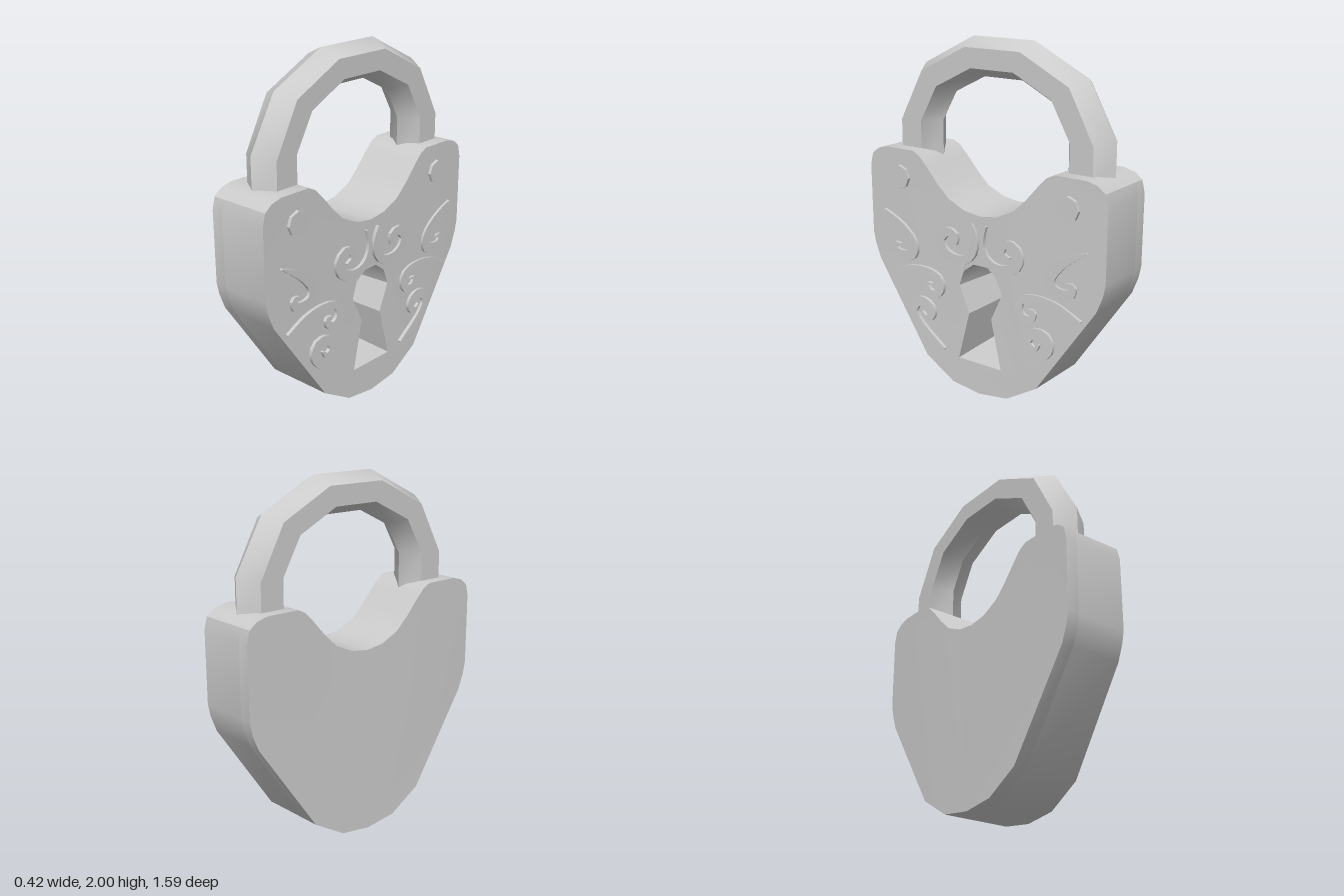
import * as THREE from 'three';
import { toCreasedNormals, mergeVertices } from 'three/addons/utils/BufferGeometryUtils.js';

const CREASE = 0.65;
const material = new THREE.MeshStandardMaterial({ color: 0xcccccc });

// [s, y] half outline -> full outline mirrored about s = 0
const mirrored = (half) => [
  ...half,
  ...half.filter(([s]) => s !== 0).reverse().map(([s, y]) => [-s, y]),
];
const vectors = (pts) => pts.map(([s, y]) => new THREE.Vector2(s, y));

// Extrude a face-on shape between two x positions; the lock thickens toward its foot
function plate(name, shape, x0, x1, adjust) {
  const geo = new THREE.ExtrudeGeometry(shape, { depth: x1 - x0, bevelEnabled: false });
  if (adjust) adjust(geo.attributes.position);
  geo.translate(0, 0, x0);
  geo.rotateY(Math.PI / 2);
  const p = geo.attributes.position;
  for (let i = 0; i < p.count; i++) {
    const k = THREE.MathUtils.clamp((0.7 - p.getY(i)) / 0.65, 0, 1);
    p.setX(i, p.getX(i) * (1 + 0.09 * k));
  }
  const mesh = new THREE.Mesh(toCreasedNormals(geo, CREASE), material);
  mesh.name = name;
  return mesh;
}

// Tapered scroll drawn along a centreline, pointed at both ends
function scrollShape(points, width, side) {
  const curve = new THREE.CatmullRomCurve3(points.map(([s, y]) => new THREE.Vector3(s * side, y, 0)));
  const left = [], right = [], n = 20;
  for (let i = 0; i <= n; i++) {
    const t = i / n;
    const p = curve.getPoint(t), d = curve.getTangent(t);
    const h = (width / 2) * (0.12 + 0.88 * Math.pow(Math.sin(Math.PI * t), 0.8));
    left.push(new THREE.Vector2(p.x - d.y * h, p.y + d.x * h));
    right.push(new THREE.Vector2(p.x + d.y * h, p.y - d.x * h));
  }
  return new THREE.Shape([...left, ...right.reverse()]);
}

// Six-sided bar swept round the arch: four edge lines, each given as a half path
function shackle() {
  const outer = [[-0.708, 1.2], [-0.708, 1.535], [-0.54, 1.83], [-0.2, 2.0]];
  const sideOut = [[-0.637, 1.2], [-0.637, 1.51], [-0.485, 1.795], [-0.18, 1.95]];
  const sideIn = [[-0.495, 1.2], [-0.495, 1.515], [-0.38, 1.72], [-0.14, 1.84]];
  const inner = [[-0.423, 1.2], [-0.423, 1.51], [-0.325, 1.685], [-0.125, 1.785]];
  const edges = [[outer, 0], [sideOut, 0.11], [sideIn, 0.11], [inner, 0], [sideIn, -0.11], [sideOut, -0.11]]
    .map(([half, x]) => [mirrored(half), x]);
  const pos = [], index = [], rings = 8, n = edges.length;
  for (let i = 0; i < rings; i++) {
    for (const [path, x] of edges) pos.push(x - 0.01, path[i][1], -path[i][0] - 0.018);
  }
  for (let i = 0; i < rings - 1; i++) {
    for (let j = 0; j < n; j++) {
      const a = i * n + j, b = i * n + ((j + 1) % n);
      index.push(a, b, b + n, a, b + n, a + n);
    }
  }
  const geo = new THREE.BufferGeometry();
  geo.setAttribute('position', new THREE.Float32BufferAttribute(pos, 3));
  geo.setIndex(index);
  const mesh = new THREE.Mesh(toCreasedNormals(mergeVertices(geo), CREASE), material);
  mesh.name = 'shackle';
  return mesh;
}

export function createModel() {
  const group = new THREE.Group();
  group.name = 'padlock';

  // Heart-like body outline, from the foot up one side to the notch
  const outline = vectors(mirrored([
    [0, 0.005], [0.19, 0.03], [0.385, 0.145], [0.745, 0.67], [0.78, 0.76], [0.795, 0.83],
    [0.797, 1.235], [0.78, 1.305], [0.735, 1.34], [0.67, 1.357], [0.475, 1.357], [0.43, 1.335],
    [0.38, 1.285], [0.3, 1.195], [0.22, 1.12], [0.11, 1.07], [0, 1.055],
  ]));
  const keyhole = vectors(mirrored([
    [0.148, 0.19], [0.077, 0.475], [0.147, 0.63], [0.115, 0.72], [0.047, 0.77],
  ]));

  // Front of the body with a keyhole that narrows toward its floor
  const frontShape = new THREE.Shape(outline);
  frontShape.holes.push(new THREE.Path(keyhole));
  group.add(plate('bodyFront', frontShape, -0.12, 0.18, (p) => {
    for (let i = 0; i < p.count; i++) {
      const s = p.getX(i), y = p.getY(i);
      if (p.getZ(i) < 0.01 && Math.abs(s) < 0.16 && y > 0.18 && y < 0.8) {
        p.setXY(i, s * 0.93, 0.5 + (y - 0.5) * 0.93);
      }
    }
  }));
  group.add(plate('bodyBack', new THREE.Shape(outline), -0.19, -0.12));

  group.add(shackle());

  // Raised scrolls, listed for one half of the face
  const scrolls = [
    ['upperScroll', 0.065, [[-0.69, 0.985], [-0.6, 0.935], [-0.52, 0.875], [-0.47, 0.805], [-0.485, 0.75],
      [-0.54, 0.73], [-0.6, 0.745], [-0.61, 0.785], [-0.57, 0.795]]],
    ['middleScroll', 0.05, [[-0.665, 0.605], [-0.51, 0.665], [-0.36, 0.67], [-0.28, 0.635], [-0.275, 0.575],
      [-0.315, 0.54], [-0.36, 0.555], [-0.37, 0.59], [-0.335, 0.6]]],
    ['lowerScroll', 0.06, [[-0.24, 0.225], [-0.33, 0.275], [-0.43, 0.345], [-0.475, 0.41], [-0.45, 0.465],
      [-0.39, 0.475], [-0.34, 0.445], [-0.34, 0.4], [-0.385, 0.385], [-0.41, 0.415]]],
    ['crownScroll', 0.06, [[-0.05, 1.01], [-0.02, 0.92], [-0.04, 0.84], [-0.1, 0.79], [-0.18, 0.785],
      [-0.25, 0.82], [-0.27, 0.885], [-0.22, 0.935], [-0.165, 0.92], [-0.165, 0.875], [-0.21, 0.86]]],
  ];
  for (const side of [1, -1]) {
    const tag = side > 0 ? 'Left' : 'Right';
    for (const [name, width, points] of scrolls) {
      group.add(plate(name + tag, scrollShape(points, width, side), 0.16, 0.2));
    }
    // Eight-sided rivet on each shoulder
    const rivet = Array.from({ length: 8 }, (_, i) => {
      const a = (i * Math.PI) / 4;
      return [-0.567 * side + 0.07 * Math.cos(a), 1.195 + 0.07 * Math.sin(a)];
    });
    group.add(plate('rivet' + tag, new THREE.Shape(vectors(rivet)), 0.16, 0.2));
  }
  return group;
}
